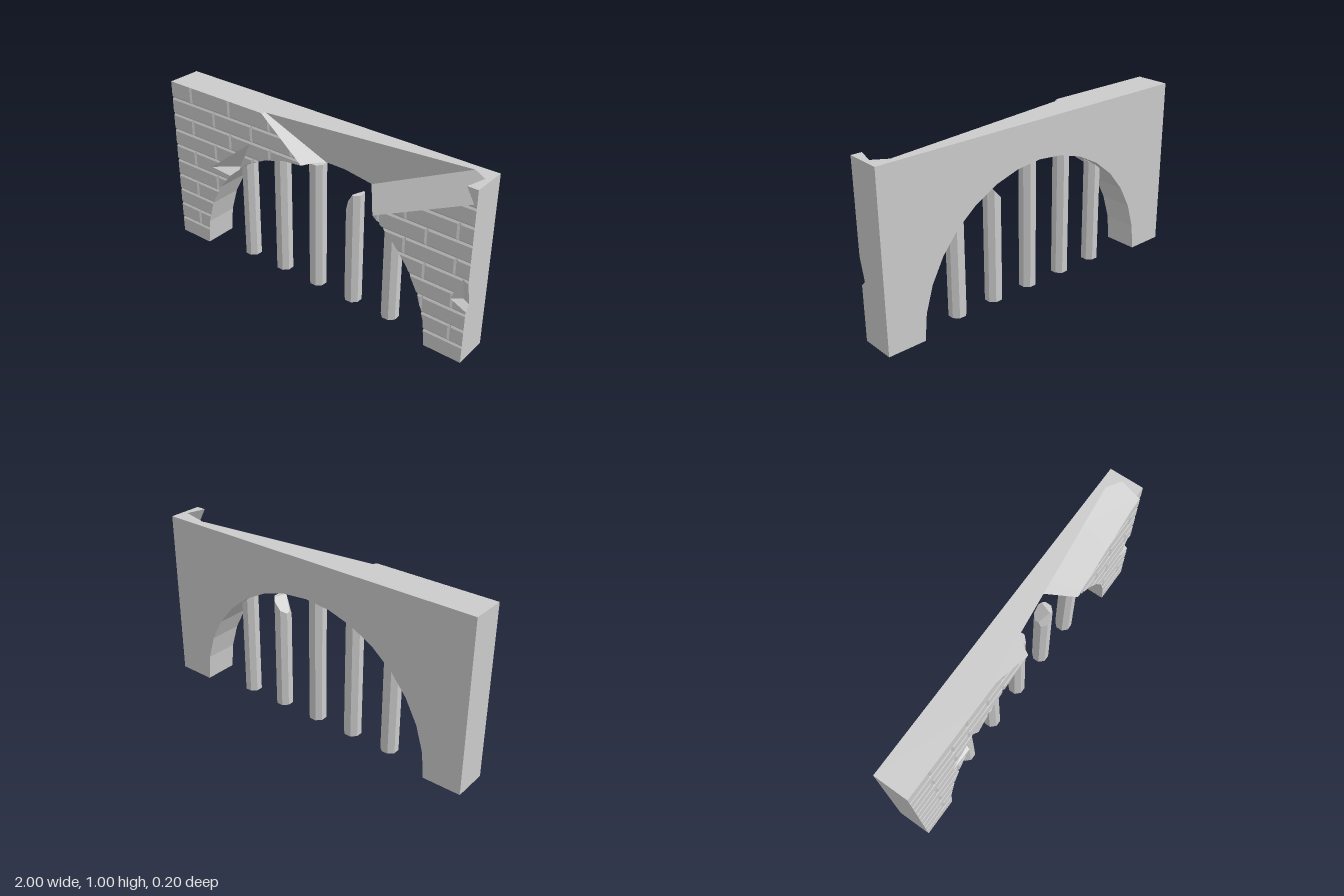
import * as THREE from 'three';

const V = (x, y, z) => new THREE.Vector3(x, y, z);
const EPS = 1e-6;

// Plane through three points, facing away from the inside point
function planeFrom(a, b, c, inside) {
  const p = new THREE.Plane().setFromCoplanarPoints(V(...a), V(...b), V(...c));
  return p.distanceToPoint(inside) > 0 ? p.negate() : p;
}
const planeAt = (nx, ny, nz, d) => new THREE.Plane(V(nx, ny, nz).normalize(), -d);

// Split a convex polygon into the parts outside and inside a plane
function split(poly, plane) {
  const out = [], inn = [];
  const d = poly.map((p) => plane.distanceToPoint(p));
  if (d.every((v) => v <= EPS)) return [null, poly];
  if (d.every((v) => v >= -EPS)) return [poly, null];
  poly.forEach((p, i) => {
    const j = (i + 1) % poly.length;
    if (d[i] >= -EPS) out.push(p);
    if (d[i] <= EPS) inn.push(p);
    if ((d[i] > EPS && d[j] < -EPS) || (d[i] < -EPS && d[j] > EPS)) {
      const m = p.clone().lerp(poly[j], d[i] / (d[i] - d[j]));
      out.push(m);
      inn.push(m);
    }
  });
  return [out, inn];
}

function clipInside(poly, planes) {
  for (const pl of planes) {
    if (!poly) return null;
    poly = split(poly, pl)[1];
  }
  return poly;
}

// Remove the part of each polygon lying in a convex solid
function subtract(polys, solid) {
  return polys.flatMap((poly) => {
    const kept = [];
    let rest = poly;
    for (const pl of solid) {
      const [out, inn] = split(rest, pl);
      if (out) kept.push(out);
      if (!inn) return [poly];
      rest = inn;
    }
    return kept;
  });
}

// Face polygons of a convex solid given by its planes
function solidFaces(planes) {
  return planes.map((pl) => {
    const n = pl.normal, c = n.clone().multiplyScalar(-pl.constant);
    const u = (Math.abs(n.y) > 0.9 ? V(1, 0, 0) : V(0, 1, 0)).cross(n).normalize();
    const v = n.clone().cross(u);
    const quad = [[1, 1], [-1, 1], [-1, -1], [1, -1]].map(([a, b]) =>
      c.clone().addScaledVector(u, a * 4).addScaledVector(v, b * 4));
    return clipInside(quad, planes.filter((q) => q !== pl));
  }).filter(Boolean);
}

const material = new THREE.MeshStandardMaterial({ color: 0xcccccc, flatShading: true });

function meshOf(name, polys) {
  const pos = [];
  for (const p of polys)
    for (let i = 1; i < p.length - 1; i++)
      for (const q of [p[0], p[i], p[i + 1]]) pos.push(q.x, q.y, q.z);
  const g = new THREE.BufferGeometry();
  g.setAttribute('position', new THREE.Float32BufferAttribute(pos, 3));
  g.computeVertexNormals();
  const mesh = new THREE.Mesh(g, material);
  mesh.name = name;
  return mesh;
}

// Bevelled brick courses in running bond
function brickPolys() {
  const polys = [], b = 0.011, top = 0.1, low = 0.093;
  for (let row = 0; row < 10; row++) {
    const y1 = 1 - row * 0.1, y0 = y1 - 0.1;
    const [start, step] = row % 2 ? [-0.67, 0.284] : [-0.843, 0.294];
    const xs = [-1];
    for (let x = start; x < 0.98; x += step) xs.push(x);
    xs.push(1);
    for (let i = 0; i < xs.length - 1; i++) {
      const x0 = xs[i], x1 = xs[i + 1];
      const l = x0 === -1 ? 0 : b, r = x1 === 1 ? 0 : b;
      const t = row === 0 ? 0 : b, d = row === 9 ? 0 : b;
      const outer = [V(x0, y0, d && l ? low : top), V(x1, y0, d && r ? low : top),
        V(x1, y1, t && r ? low : top), V(x0, y1, t && l ? low : top)];
      outer.forEach((p) => { p.z = low; });
      const inner = [V(x0 + l, y0 + d, top), V(x1 - r, y0 + d, top),
        V(x1 - r, y1 - t, top), V(x0 + l, y1 - t, top)];
      polys.push(inner);
      for (let k = 0; k < 4; k++) {
        const n = (k + 1) % 4;
        polys.push([outer[k], outer[n], inner[n], inner[k]]);
      }
    }
  }
  return polys;
}

export function createModel() {
  const group = new THREE.Group();
  group.name = 'brokenArchWall';

  // Wall block; the last plane is its brick front
  const box = [planeAt(-1, 0, 0, 1), planeAt(1, 0, 0, 1), planeAt(0, -1, 0, 0),
    planeAt(0, 1, 0, 1), planeAt(0, 0, -1, 0.1), planeAt(0, 0, 1, 0.1)];

  // Arch opening with sixteen straight segments
  const R = 0.78, N = 16, arch = [];
  for (let i = 0; i < N; i++) {
    const a = ((i + 0.5) * Math.PI) / N;
    arch.push(planeAt(Math.cos(a), Math.sin(a), 0, R * Math.cos(Math.PI / (2 * N))));
  }

  // Large piece broken out of the crown
  const ci = V(0.3, 0.9, 0.09);
  const crownBreak = [
    planeFrom([-0.3, 1, 0.08], [0.89, 1, -0.06], [0.3, 0.72, -0.06], ci),
    planeFrom([0.985, 0.92, 0.1], [0.43, 0.65, 0.1], [0.89, 1, -0.06], ci),
    planeFrom([-0.3, 1, 0.09], [-0.04, 0.78, 0.1], [0.05, 0.77, -0.018], ci),
    planeFrom([0.94, 1, 0.1], [0.985, 0.92, 0.1], [0.97, 1, -0.01], ci),
  ];

  // Chip on the arch edge
  const li = V(-0.54, 0.62, 0.09), lDeep = [-0.55, 0.57, 0.03];
  const archChip = [
    planeFrom([-0.71, 0.545, 0.1], [-0.4, 0.79, 0.1], lDeep, li),
    planeFrom([-0.71, 0.545, 0.1], [-0.57, 0.535, 0.1], lDeep, li),
    planeFrom([-0.4, 0.79, 0.1], [-0.47, 0.63, 0.1], lDeep, li),
  ];

  // Chip on the outer corner
  const ri = V(0.97, 0.41, 0.095), rDeep = [1, 0.35, 0.07];
  const cornerChip = [
    planeFrom([0.97, 0.5, 0.1], [0.91, 0.36, 0.1], [0.96, 0.38, 0.075], ri),
    planeFrom([0.91, 0.36, 0.1], [1, 0.32, 0.1], rDeep, ri),
    planeFrom([0.97, 0.5, 0.1], [1, 0.48, 0.1], rDeep, ri),
  ];

  const cutters = { archSoffit: arch, crownBreak, archChip, cornerChip };
  const cutAll = (polys, skip) => Object.values(cutters)
    .filter((c) => c !== skip).reduce((p, c) => subtract(p, c), polys);

  group.add(meshOf('wallBlock', cutAll(solidFaces(box).slice(0, 5))));
  group.add(meshOf('brickFront', cutAll(brickPolys())));
  for (const [name, solid] of Object.entries(cutters)) {
    const faces = solidFaces(solid).map((f) => clipInside(f, box)).filter(Boolean)
      .map((f) => f.slice().reverse());
    group.add(meshOf(name, cutAll(faces, solid)));
  }

  // Whole octagonal bars
  for (const x of [-0.5, -0.25, 0, 0.5]) {
    const h = Math.sqrt(R * R - x * x) + (x ? 0.03 : -0.005);
    const bar = new THREE.Mesh(new THREE.CylinderGeometry(0.05, 0.05, h, 8, 1, false, Math.PI / 8), material);
    bar.position.set(x, h / 2, 0);
    bar.name = 'bar';
    group.add(bar);
  }

  // Snapped bar with a slanted tip
  const bi = V(0.25, 0.2, 0), snapped = [planeAt(0, -1, 0, 0), planeAt(0, 1, 0, 0.68)];
  for (let k = 0; k < 8; k++) {
    const a = (k * Math.PI) / 4;
    snapped.push(planeAt(Math.cos(a), 0, Math.sin(a), 0.0462 + 0.25 * Math.cos(a)));
  }
  snapped.push(planeFrom([0.2, 0.6, 0], [0.27, 0.68, 0], [0.2, 0.62, 0.05], bi));
  snapped.push(planeFrom([0.245, 0.66, 0.03], [0.215, 0.52, 0.047], [0.2, 0.6, 0], bi));
  group.add(meshOf('snappedBar', solidFaces(snapped)));

  return group;
}
